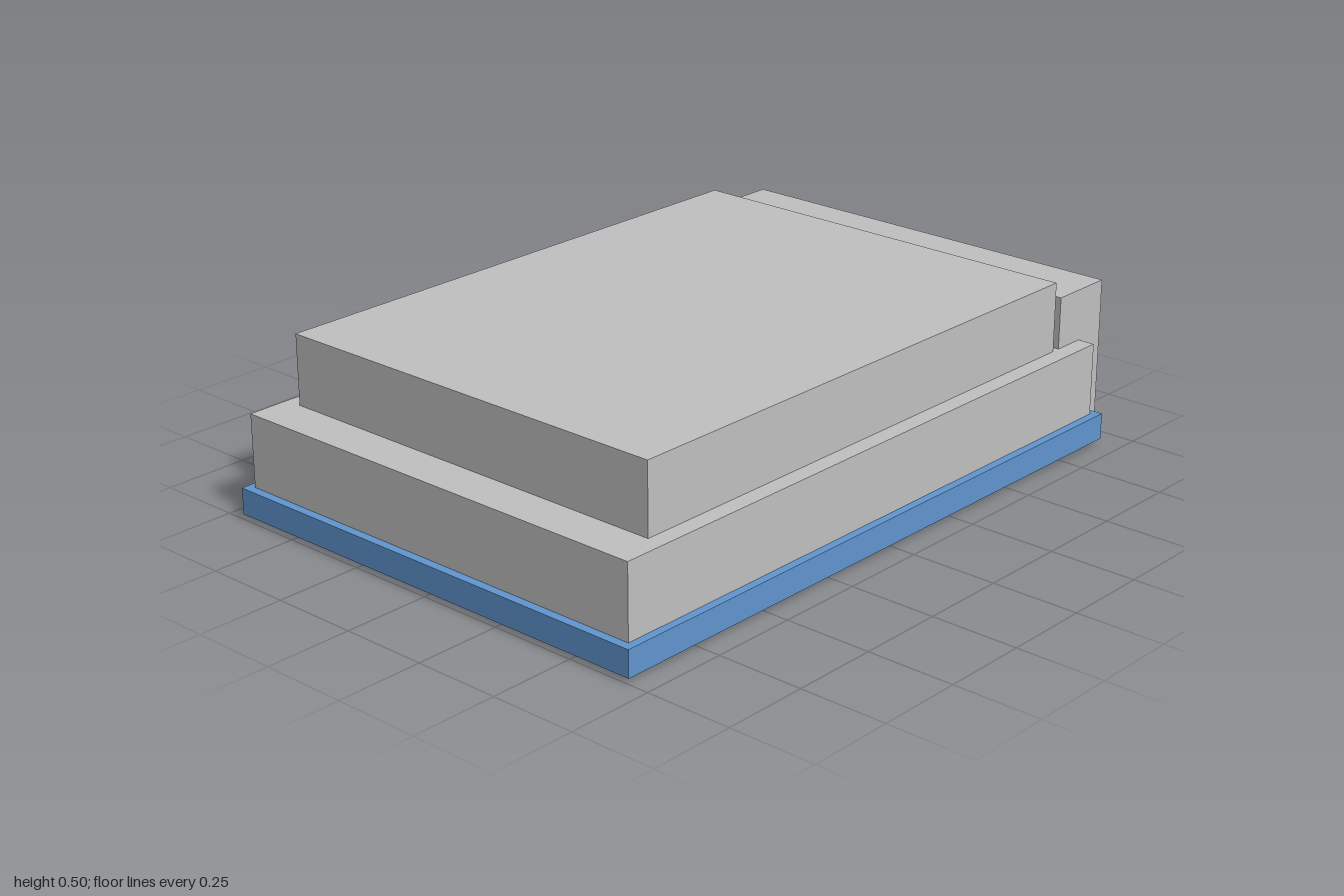
import * as THREE from 'three';

export function createModel() {
  const model = new THREE.Group();
  model.name = 'steppedBlock';

  const grey = new THREE.MeshStandardMaterial({ color: 0xc0c0c0 });
  grey.name = 'light grey';
  const blue = new THREE.MeshStandardMaterial({ color: 0x6196d0 });
  blue.name = 'mid blue';

  // Box centred on x, given its width and its y and z ranges
  function addBox(name, material, width, [y0, y1], [z0, z1]) {
    const mesh = new THREE.Mesh(new THREE.BoxGeometry(width, y1 - y0, z1 - z0), material);
    mesh.name = name;
    mesh.position.set(0, (y0 + y1) / 2, (z0 + z1) / 2);
    model.add(mesh);
  }

  // Main body, standing on the ground
  addBox('body', grey, 1.335, [0, 0.298], [-0.9, 0.975]);
  // Blue band around the foot of the body
  addBox('baseBand', blue, 1.382, [0.015, 0.09], [-0.925, 1]);
  // Raised upper storey
  addBox('upperBlock', grey, 1.235, [0.298, 0.497], [-0.778, 0.852]);
  // Block across the back, raised off the ground
  addBox('rearBlock', grey, 1.235, [0.052, 0.447], [-1, -0.803]);

  return model;
}
